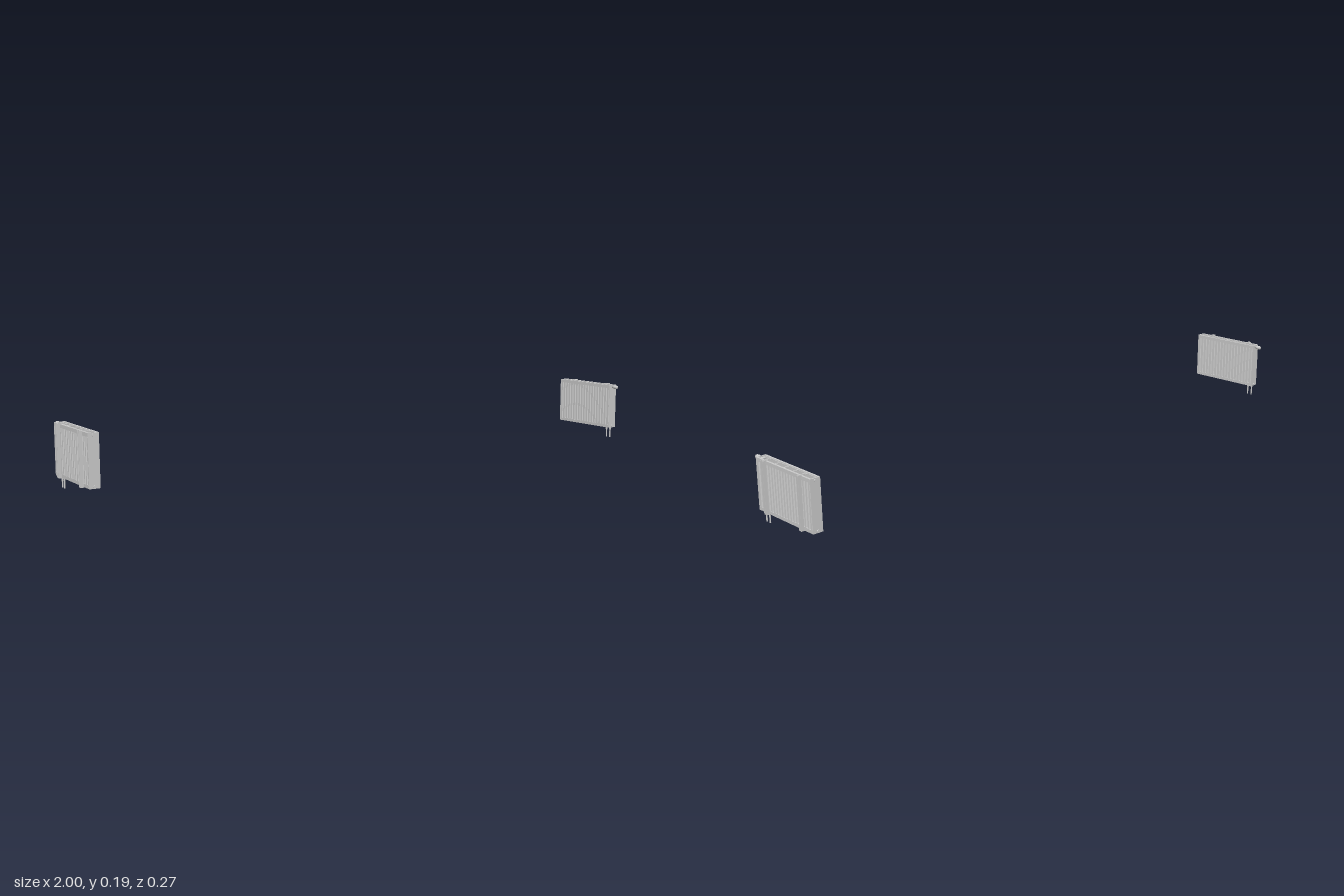
import * as THREE from 'three';

const mat = new THREE.MeshStandardMaterial({ color: 0xcccccc, side: THREE.DoubleSide });

// Overall sizes of one radiator
const X_IN = 0.958, X_OUT = 0.99, XC = 0.974;
const Y0 = 0.036, Y1 = 0.187;
const Z0 = -0.134, Z1 = 0.115, ZC = (Z0 + Z1) / 2, LEN = Z1 - Z0;
const CHANNELS = 19;

function add(group, name, geometry, x, y, z) {
  const mesh = new THREE.Mesh(geometry, mat);
  mesh.name = name;
  mesh.position.set(x, y, z);
  group.add(mesh);
  return mesh;
}

// Box given by its limits
function box(group, name, x0, x1, y0, y1, z0, z1) {
  return add(group, name, new THREE.BoxGeometry(x1 - x0, y1 - y0, z1 - z0),
    (x0 + x1) / 2, (y0 + y1) / 2, (z0 + z1) / 2);
}

// Pressed steel sheet: trapezoid water channels standing out towards +x
function corrugatedGeometry(height) {
  const pitch = (LEN - 0.002) / CHANNELS, base = 0.004, ridge = 0.007;
  const s = new THREE.Shape();
  const start = -pitch * CHANNELS / 2;
  s.moveTo(0, start);
  s.lineTo(base, start);
  for (let i = 0; i < CHANNELS; i++) {
    const v = start + i * pitch;
    s.lineTo(base, v + pitch * 0.14);
    s.lineTo(ridge, v + pitch * 0.28);
    s.lineTo(ridge, v + pitch * 0.72);
    s.lineTo(base, v + pitch * 0.86);
  }
  s.lineTo(base, -start);
  s.lineTo(0, -start);
  s.closePath();
  const g = new THREE.ExtrudeGeometry(s, { depth: height, bevelEnabled: false });
  return g.rotateX(-Math.PI / 2);
}

// One panel with its flat header channels at top and bottom
function createPanel(outward) {
  const panel = new THREE.Group();
  panel.name = outward > 0 ? 'wallPanel' : 'roomPanel';
  const low = 0.046, high = 0.177;
  const root = outward > 0 ? X_OUT - 0.008 : X_IN + 0.008;
  const sheet = add(panel, 'corrugatedSheet', corrugatedGeometry(high - low), root, low, ZC);
  if (outward < 0) sheet.rotation.y = Math.PI;
  const a = Math.min(root, root + outward * 0.0075);
  box(panel, 'topHeader', a, a + 0.0075, high, Y1 - 0.001, Z0 + 0.001, Z1 - 0.001);
  box(panel, 'bottomHeader', a, a + 0.0075, Y0, low, Z0 + 0.001, Z1 - 0.001);
  return panel;
}

// Open top cover: two rails joined by cross bars
function createGrille() {
  const grille = new THREE.Group();
  grille.name = 'topGrille';
  for (const x of [X_IN, X_OUT - 0.006])
    box(grille, 'grilleRail', x, x + 0.006, Y1 - 0.002, Y1 + 0.0008, Z0, Z1);
  const bars = 6;
  for (let i = 0; i <= bars; i++) {
    const z = Z0 + 0.002 + (LEN - 0.004) * i / bars;
    box(grille, 'grilleBar', X_IN, X_OUT, Y1 - 0.002, Y1 + 0.0008, z - 0.002, z + 0.002);
  }
  return grille;
}

// Wall bracket: upright rail with hooks over the top and under the bottom
function createBracket(z) {
  const bracket = new THREE.Group();
  bracket.name = 'wallBracket';
  const w = 0.004;
  box(bracket, 'bracketRail', X_OUT, 0.993, Y0 - 0.001, Y1 + 0.002, z - w, z + w);
  for (const side of [-1, 1])
    box(bracket, 'bracketFlange', X_OUT, 1, Y0 - 0.001, Y1 + 0.002,
      z + side * w - 0.0005, z + side * w + 0.0005);
  box(bracket, 'topHook', XC, 0.998, Y1, Y1 + 0.003, z - 0.002, z + 0.002);
  box(bracket, 'bottomHook', XC, 0.998, Y0 - 0.002, Y0, z - 0.002, z + 0.002);
  return bracket;
}

// Supply or return pipe with its union nut
function createPipe(z) {
  const pipe = new THREE.Group();
  pipe.name = 'floorPipe';
  add(pipe, 'pipe', new THREE.CylinderGeometry(0.0022, 0.0022, 0.04, 12), XC, 0.02, z);
  add(pipe, 'unionNut', new THREE.CylinderGeometry(0.0038, 0.0038, 0.006, 6), XC, 0.031, z);
  return pipe;
}

// Thermostat head lying along z at the top corner
function createValve() {
  const profile = [[0, 0], [0.004, 0], [0.004, 0.005], [0.006, 0.006], [0.0068, 0.011],
    [0.0062, 0.018], [0.005, 0.0215], [0, 0.022]].map(([r, h]) => new THREE.Vector2(r, h));
  const geometry = new THREE.LatheGeometry(profile, 20).rotateX(Math.PI / 2);
  const group = new THREE.Group();
  group.name = 'thermostatValve';
  add(group, 'valveHead', geometry, XC, 0.181, Z1);
  return group;
}

function createRadiator() {
  const radiator = new THREE.Group();
  radiator.add(createPanel(1), createPanel(-1), createGrille(), createValve());
  // End covers
  box(radiator, 'endCover', X_IN, X_OUT, Y0, Y1, Z0, Z0 + 0.0015);
  box(radiator, 'endCover', X_IN, X_OUT, Y0, Y1, Z1 - 0.0015, Z1);
  // Collectors joining both panels at the ends
  for (const z of [Z0 + 0.006, Z1 - 0.006])
    for (const y of [0.041, 0.181])
      add(radiator, 'collector', new THREE.CylinderGeometry(0.004, 0.004, 0.02, 12)
        .rotateZ(Math.PI / 2), XC, y, z);
  // Blanking plugs
  for (const [y, z] of [[0.181, Z0], [0.041, Z0], [0.041, Z1]])
    add(radiator, 'endPlug', new THREE.CylinderGeometry(0.0045, 0.0045, 0.006, 12)
      .rotateX(Math.PI / 2), XC, y, z);
  for (const z of [0.072, -0.091]) radiator.add(createBracket(z));
  for (const z of [0.107, 0.091]) radiator.add(createPipe(z));
  return radiator;
}

export function createModel() {
  const model = new THREE.Group();
  model.name = 'radiatorPair';
  // Two radiators on opposite walls, each turned towards the room
  ['leftRadiator', 'rightRadiator'].forEach((name, i) => {
    const radiator = createRadiator();
    radiator.name = name;
    radiator.rotation.y = Math.PI * i;
    model.add(radiator);
  });
  return model;
}
